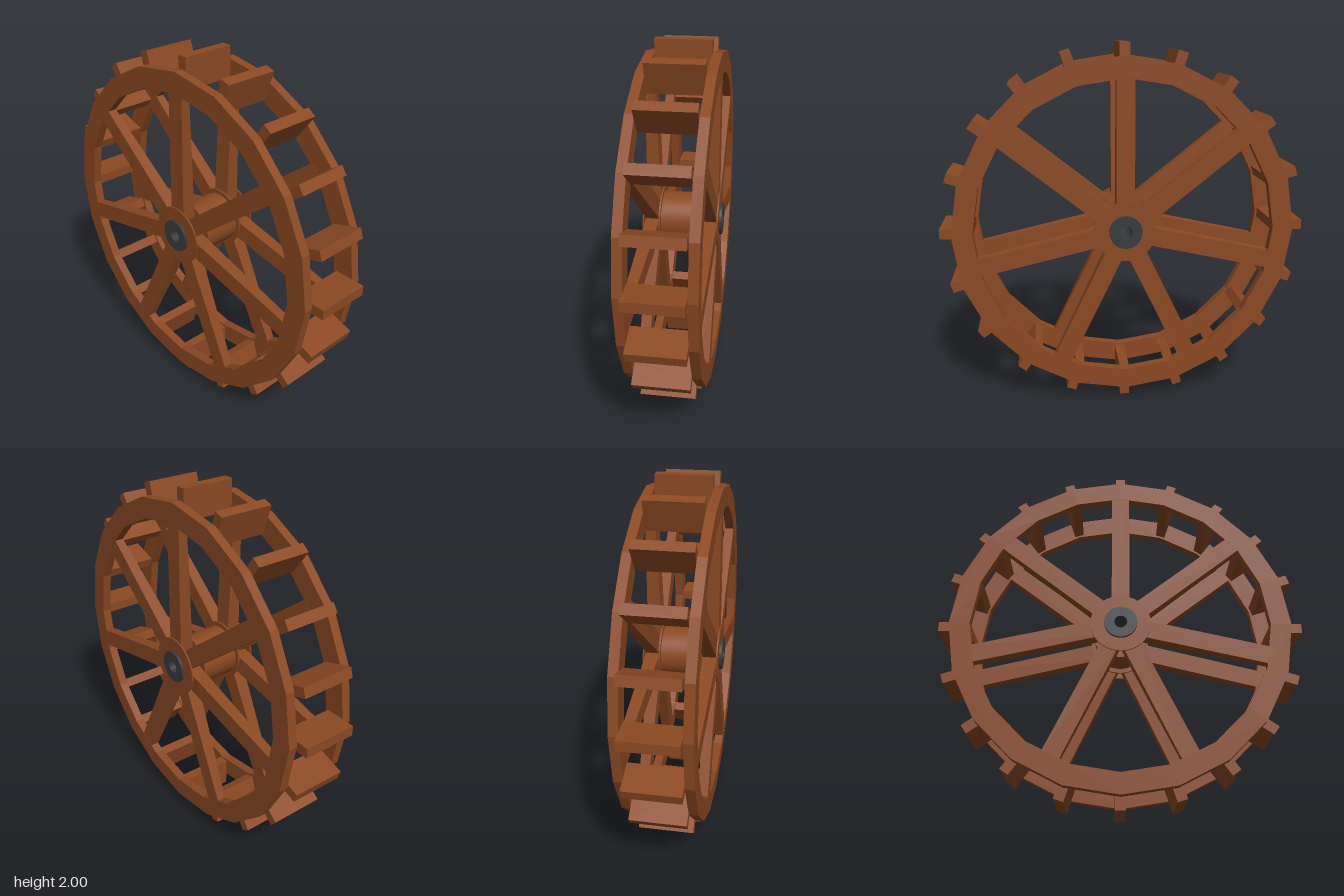
import * as THREE from 'three';
import { toCreasedNormals } from 'three/addons/utils/BufferGeometryUtils.js';

const wood = new THREE.MeshStandardMaterial({ color: 0x8b4923 });
const iron = new THREE.MeshStandardMaterial({ color: 0x383b3d });

// Points on a circle from angle a0 to a1
function arc(r, a0, a1, steps) {
  return Array.from({ length: steps + 1 }, (_, i) => {
    const a = a0 + (a1 - a0) * i / steps;
    return new THREE.Vector2(r * Math.cos(a), r * Math.sin(a));
  });
}

// Extrude a shape along the x axis, from x0 to x1
function extrudeX(shape, x0, x1) {
  return new THREE.ExtrudeGeometry(shape, { depth: x1 - x0, bevelEnabled: false })
    .rotateY(Math.PI / 2).translate(x0, 0, 0);
}

// Smooth round collar with a bore, lying along the x axis
function collar(outer, inner, x0, x1) {
  const shape = new THREE.Shape(arc(outer, 0, Math.PI * 2, 40).slice(0, -1));
  shape.holes.push(new THREE.Path(arc(inner, 0, Math.PI * 2, 40).slice(0, -1)));
  return toCreasedNormals(extrudeX(shape, x0, x1), 0.6);
}

export function createModel() {
  const model = new THREE.Group();
  const wheel = new THREE.Group();
  wheel.name = 'waterWheel';
  wheel.position.y = 1;
  model.add(wheel);

  function add(name, geometry, material, angle = 0) {
    const mesh = new THREE.Mesh(geometry, material);
    mesh.name = name;
    mesh.rotation.x = angle;
    wheel.add(mesh);
  }

  // Hub: bored iron axle and wooden drum
  add('axle', collar(0.07, 0.035, -0.2, 0.2), iron);
  add('hubDrum', collar(0.14, 0.07, -0.11, 0.11), wood);

  // Quarter of a rim, five straight facets long
  const quarter = new THREE.Shape([
    ...arc(0.933, 0, Math.PI / 2, 5),
    ...arc(0.82, Math.PI / 2, 0, 5),
  ]);

  for (const side of [-1, 1]) {
    const span = (a, b) => (side > 0 ? [a, b] : [-b, -a]);

    // Rim made of four felloes
    const felloe = extrudeX(quarter, ...span(0.15, 0.2));
    for (let i = 0; i < 4; i++) add('rimSegment', felloe, wood, i * Math.PI / 2);

    // Flanges clamping the spokes, and the iron end cap
    add('innerFlange', collar(0.165, 0.07, ...span(0.11, 0.12)), wood);
    add('outerFlange', collar(0.165, 0.07, ...span(0.199, 0.207)), wood);
    add('axleCap', collar(0.09, 0.035, ...span(0.2, 0.222)), iron);

    // Seven spokes, thicker towards the hub on their inner face
    const spoke = new THREE.BoxGeometry(0.05, 0.75, 0.1);
    spoke.translate(side * 0.174, 0.455, 0);
    const p = spoke.attributes.position;
    for (let i = 0; i < p.count; i++) {
      if (p.getY(i) < 0.4 && Math.abs(p.getX(i)) < 0.17) p.setX(i, side * 0.12);
    }
    spoke.computeVertexNormals();
    for (let i = 0; i < 7; i++) add('spoke', spoke, wood, i * Math.PI * 2 / 7);
  }

  // Twenty paddles between the rims
  const paddle = new THREE.BoxGeometry(0.3, 0.17, 0.055).translate(0, 0.915, 0);
  for (let i = 0; i < 20; i++) add('paddle', paddle, wood, i * Math.PI / 10);

  return model;
}
